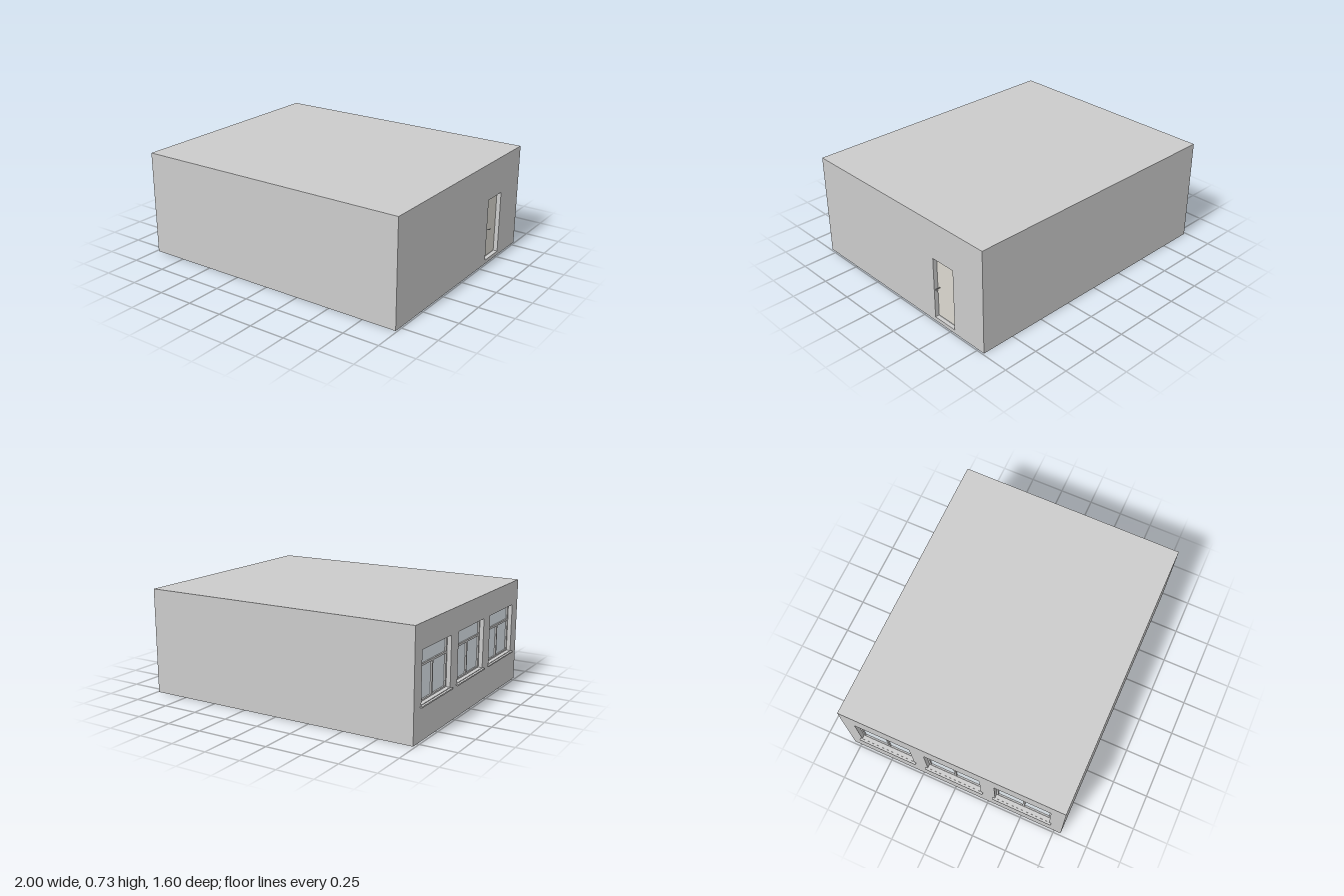
import * as THREE from 'three';

const W = 1.975, H = 0.73, D = 1.6, T = 0.05; // hall size and wall thickness
const mat = (color) => new THREE.MeshStandardMaterial({ color });
const grey = mat(0xcccccc), beige = mat(0xdbd8d0), glassMat = mat(0xe2eaf0);

function rectPath(Type, x0, y0, x1, y1) {
  const p = new Type();
  p.moveTo(x0, y0).lineTo(x1, y0).lineTo(x1, y1).lineTo(x0, y1).closePath();
  return p;
}

function addBox(parent, name, size, pos, material = grey) {
  const m = new THREE.Mesh(new THREE.BoxGeometry(...size), material);
  m.name = name;
  m.position.set(...pos);
  parent.add(m);
  return m;
}

// Slab with openings, outer face at z = 0, edges mitred so that six close a box
function panel(name, w, h, openings = []) {
  const shape = rectPath(THREE.Shape, -w / 2, -h / 2, w / 2, h / 2);
  openings.forEach((o) => shape.holes.push(rectPath(THREE.Path, ...o)));
  const geo = new THREE.ExtrudeGeometry(shape, { depth: T, bevelEnabled: false });
  geo.translate(0, 0, -T);
  const p = geo.attributes.position;
  for (let i = 0; i < p.count; i++) {
    if (p.getZ(i) > -T / 2) continue;
    const x = p.getX(i), y = p.getY(i);
    if (Math.abs(x) > w / 2 - 1e-4) p.setX(i, x - Math.sign(x) * T);
    if (Math.abs(y) > h / 2 - 1e-4) p.setY(i, y - Math.sign(y) * T);
  }
  geo.computeVertexNormals();
  const mesh = new THREE.Mesh(geo, grey);
  mesh.name = name;
  return mesh;
}

// Window: frame with a transom light above two casements, and a projecting sill
function makeWindow(w, h) {
  const g = new THREE.Group();
  g.name = 'window';
  const f = 0.014, d = 0.02, z = -0.038, transom = h * 0.18;
  addBox(g, 'glass', [w, h, 0.006], [0, 0, z - 0.003], glassMat);
  for (const s of [-1, 1]) {
    addBox(g, 'frameJamb', [f, h, d], [s * (w - f) / 2, 0, z]);
    addBox(g, 'frameRail', [w - 2 * f, f, d], [0, s * (h - f) / 2, z]);
  }
  addBox(g, 'transom', [w - 2 * f, f, d], [0, transom, z]);
  const low = -h / 2 + f, high = transom - f / 2;
  addBox(g, 'mullion', [f, high - low, d], [0, (low + high) / 2, z]);
  addBox(g, 'sill', [w + 0.03, 0.009, 0.015], [0, -h / 2 - 0.0045, 0.0075]);
  addBox(g, 'sillBoard', [w, 0.004, 0.03], [0, -h / 2 + 0.002, -0.015]);
  return g;
}

// Door leaf set back in its opening, with a lever handle
function makeDoor(w, h) {
  const g = new THREE.Group();
  g.name = 'door';
  addBox(g, 'doorLeaf', [w, h, 0.014], [0, 0, -0.037], beige);
  const hx = -w / 2 + 0.02, hy = 0.001;
  const spindle = new THREE.Mesh(new THREE.CylinderGeometry(0.003, 0.003, 0.036, 10), grey);
  spindle.name = 'handleSpindle';
  spindle.rotation.x = Math.PI / 2;
  spindle.position.set(hx, hy, -0.012);
  g.add(spindle);
  addBox(g, 'handleLever', [0.027, 0.004, 0.004], [hx + 0.0115, hy, 0.007]);
  return g;
}

export function createModel() {
  const model = new THREE.Group();
  const body = new THREE.Group();
  body.name = 'building';
  body.position.set(0.0025, H / 2, 0);
  model.add(body);

  const place = (mesh, pos, rx, ry) => {
    mesh.position.set(...pos);
    mesh.rotation.set(rx, ry, 0);
    body.add(mesh);
    return mesh;
  };
  const q = Math.PI / 2;

  // Plain faces
  place(panel('frontWall', W, H), [0, 0, D / 2], 0, 0);
  place(panel('backWall', W, H), [0, 0, -D / 2], 0, Math.PI);
  place(panel('roof', W, D), [0, H / 2, 0], -q, 0);
  place(panel('floor', W, D), [0, -H / 2, 0], q, 0);

  // Left wall with the door
  const dw = 0.185, dh = 0.44, dx = 0.44, dy = 0.248 - H / 2;
  const doorWall = panel('doorWall', D, H, [[dx - dw / 2, dy - dh / 2, dx + dw / 2, dy + dh / 2]]);
  place(doorWall, [W / 2, 0, 0], 0, q);
  const door = makeDoor(dw, dh);
  door.position.set(dx, dy, 0);
  doorWall.add(door);

  // Right wall with three windows
  const ww = 0.4, wh = 0.34, wy = 0.395 - H / 2, centres = [-0.505, 0, 0.505];
  const windowWall = panel('windowWall', D, H,
    centres.map((c) => [c - ww / 2, wy - wh / 2, c + ww / 2, wy + wh / 2]));
  place(windowWall, [-W / 2, 0, 0], 0, -q);
  for (const c of centres) {
    const win = makeWindow(ww, wh);
    win.position.set(c, wy, 0);
    windowWall.add(win);
  }
  return model;
}
